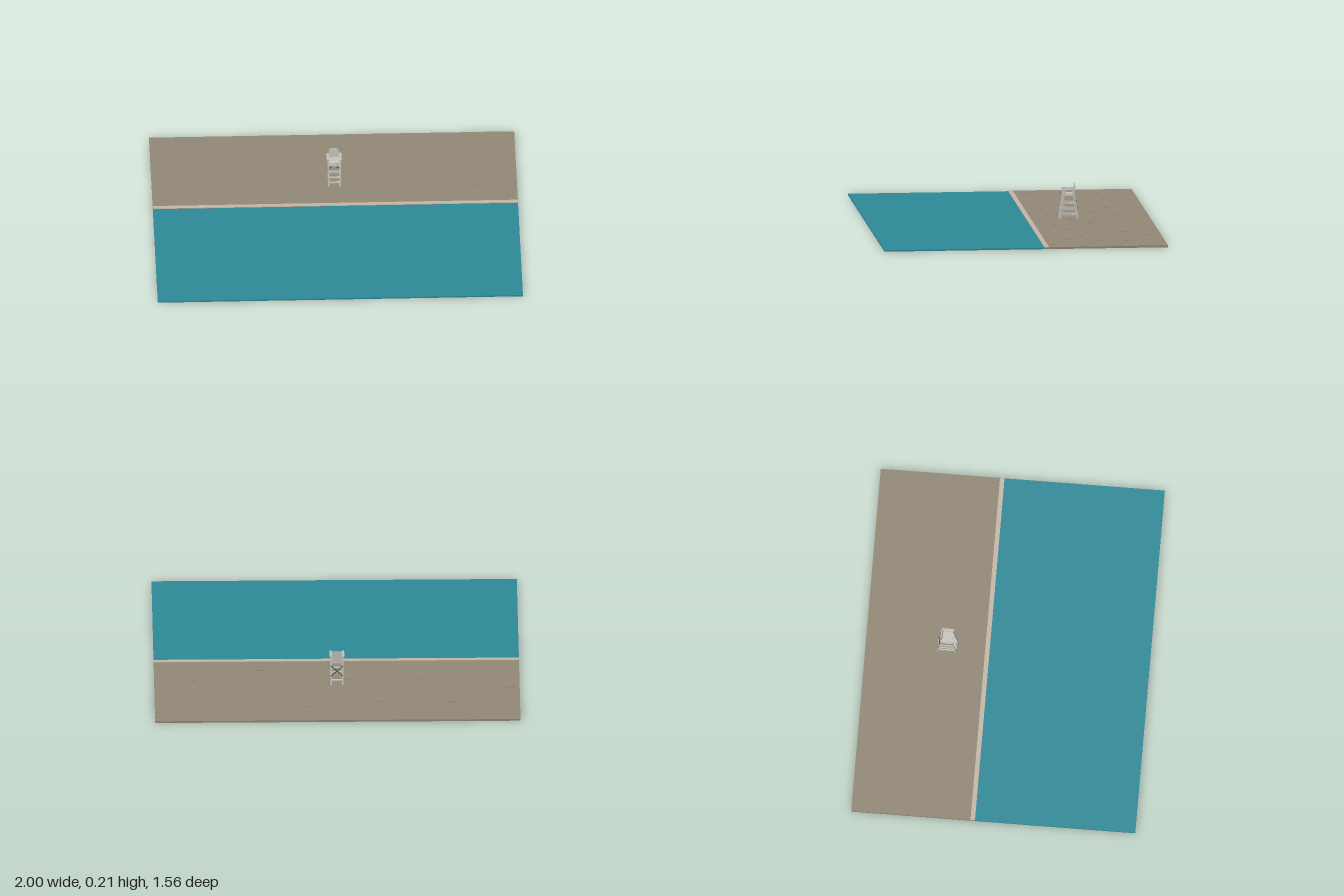
import * as THREE from 'three';
import { mergeGeometries } from 'three/addons/utils/BufferGeometryUtils.js';

const mat = (name, color) => new THREE.MeshStandardMaterial({ name, color });

export function createModel() {
  const model = new THREE.Group();
  model.name = 'poolside';
  const water = mat('water teal', 0x2e8a9a);
  const deck = mat('deck stone', 0x938977);
  const edge = mat('coping stone', 0xc6b8aa);
  const frame = mat('frame grey', 0xc4c3bd);
  const panel = mat('seat off-white', 0xc9c8bd);
  const steel = mat('brace dark grey', 0x5a5c5e);

  const add = (parent, name, geometry, material, x = 0, y = 0, z = 0) => {
    const m = new THREE.Mesh(geometry, material);
    m.name = name;
    m.position.set(x, y, z);
    parent.add(m);
    return m;
  };
  const box = (parent, name, material, size, pos) =>
    add(parent, name, new THREE.BoxGeometry(...size), material, ...pos);

  // Square bar running between two points
  const bar = (parent, name, a, b, w, d, material) => {
    const p = new THREE.Vector3(...a), q = new THREE.Vector3(...b);
    const dir = q.clone().sub(p);
    const m = box(parent, name, material, [w, dir.length(), d], p.clone().add(q).multiplyScalar(0.5).toArray());
    m.quaternion.setFromUnitVectors(new THREE.Vector3(0, 1, 0), dir.normalize());
    return m;
  };

  // Pool water, deck slab and coping
  box(model, 'water', water, [2, 0.008, 0.88], [0, 0.004, 0.34]);
  box(model, 'deckSlab', deck, [2, 0.0096, 0.655], [0, 0.0048, -0.4525]);
  box(model, 'copingBase', deck, [2, 0.009, 0.025], [0, 0.0045, -0.1125]);
  box(model, 'coping', edge, [2, 0.0035, 0.025], [0, 0.01075, -0.1125]);

  // Deck tiles with slightly uneven heights
  let seed = 7;
  const random = () => (seed = (seed * 16807) % 2147483647) / 2147483647;
  const tiles = [];
  const columns = 40, rows = 13, tw = 2 / columns, td = 0.655 / rows;
  for (let i = 0; i < columns; i++) {
    for (let j = 0; j < rows; j++) {
      const h = 0.001 + random() * 0.0006;
      tiles.push(new THREE.BoxGeometry(tw, h, td)
        .translate(-1 + (i + 0.5) * tw, 0.0095 + h / 2, -0.78 + (j + 0.5) * td));
    }
  }
  add(model, 'deckTiles', mergeGeometries(tiles), deck);

  // Lifeguard chair
  const chair = new THREE.Group();
  chair.name = 'lifeguardChair';
  chair.position.set(0, 0.01, -0.333);
  model.add(chair);

  // Half depth of the tapering frame at a height above the deck
  const H = 0.164;
  const spread = (y) => 0.05 - (0.05 - 0.024) * (y / H);
  const X = 0.032;

  for (const s of [-1, 1]) {
    for (const f of [-1, 1]) {
      bar(chair, f > 0 ? 'frontLeg' : 'backLeg', [s * X, 0, f * spread(0)], [s * X, H, f * spread(H)], 0.008, 0.009, frame);
    }
    // Side rungs
    for (const y of [0.026, 0.056, 0.09, 0.135]) {
      box(chair, 'sideRung', frame, [0.006, 0.009, spread(y) * 2], [s * X, y, 0]);
    }
    // Armrest
    box(chair, 'armrest', frame, [0.014, 0.005, 0.068], [s * 0.034, H + 0.001, 0]);
  }

  // Ladder steps on the front and rails on the back
  for (const y of [0.026, 0.056, 0.09, 0.128]) {
    box(chair, 'frontStep', frame, [X * 2, 0.007, 0.01], [0, y, spread(y)]);
  }
  for (const y of [0.026, 0.128]) {
    box(chair, 'backRail', frame, [X * 2, 0.007, 0.007], [0, y, -spread(y)]);
  }

  // Crossed braces behind the back legs
  for (const s of [-1, 1]) {
    const z = (y) => -spread(y) - 0.005 - (s > 0 ? 0.002 : 0);
    bar(chair, 'crossBrace', [s * X, 0.052, z(0.052)], [-s * X, 0.11, z(0.11)], 0.006, 0.003, steel);
  }

  // Seat board
  box(chair, 'seat', panel, [0.06, 0.007, 0.06], [0, 0.139, 0]);

  // Backrest with rounded upper corners
  const w = 0.027, h = 0.06, r = 0.018;
  const shape = new THREE.Shape();
  shape.moveTo(-w, 0);
  shape.lineTo(w, 0);
  shape.lineTo(w, h - r);
  shape.quadraticCurveTo(w, h, w - r, h);
  shape.lineTo(-w + r, h);
  shape.quadraticCurveTo(-w, h, -w, h - r);
  const back = add(chair, 'backrest', new THREE.ExtrudeGeometry(shape, { depth: 0.005, bevelEnabled: false, curveSegments: 8 }),
    panel, 0, 0.138, -0.032);
  back.rotation.x = -0.06;

  return model;
}
